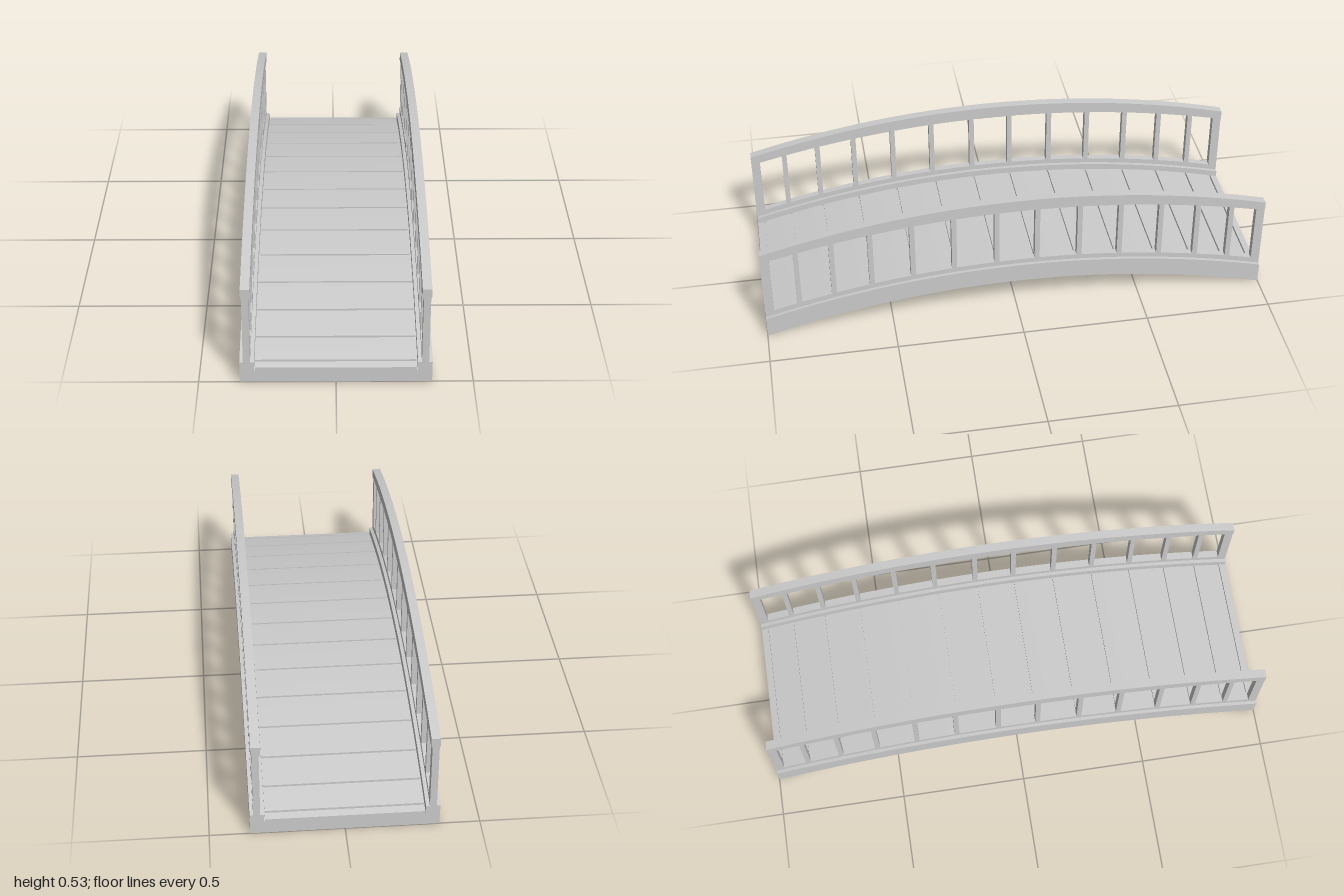
import * as THREE from 'three';
import { toCreasedNormals } from 'three/addons/utils/BufferGeometryUtils.js';

const material = new THREE.MeshStandardMaterial({ color: 0xcccccc });

// Arched line: [height at mid-span, height at the ends]
const UNDERSIDE = [0.142, 0];
const SLAB_TOP = [0.185, 0.05];
const DECK_TOP = [0.197, 0.062];
const CURB_TOP = [0.22, 0.085];
const LOWER_RAIL_TOP = [0.24, 0.108];
const RAIL_BOTTOM = [0.482, 0.358];
const RAIL_TOP = [0.531, 0.396];
const heightAt = ([mid, end], z) => mid - (mid - end) * z * z;

// Solid between two arched lines, from z0 to z1 and x0 to x1
function archBand(name, low, high, z0, z1, x0, x1) {
  const steps = Math.max(2, Math.ceil((z1 - z0) * 20));
  const lower = [], upper = [];
  for (let i = 0; i <= steps; i++) {
    const z = z0 + ((z1 - z0) * i) / steps;
    lower.push(new THREE.Vector2(z, heightAt(low, z)));
    upper.unshift(new THREE.Vector2(z, heightAt(high, z)));
  }
  const shape = new THREE.Shape([...lower, ...upper]);
  const geometry = new THREE.ExtrudeGeometry(shape, { depth: x1 - x0, bevelEnabled: false });
  geometry.rotateY(-Math.PI / 2).translate(x1, 0, 0);
  const mesh = new THREE.Mesh(toCreasedNormals(geometry, 0.4), material);
  mesh.name = name;
  return mesh;
}

export function createModel() {
  const bridge = new THREE.Group();
  bridge.name = 'archedBridge';

  // Arched slab under the deck
  bridge.add(archBand('slab', UNDERSIDE, SLAB_TOP, -1, 1, -0.3, 0.3));

  // Deck planks with narrow grooves between them
  const half = [0.077, 0.241, 0.406, 0.569, 0.72, 0.856, 0.968];
  const joints = [-1, ...half.map((z) => -z).reverse(), ...half, 1];
  const gap = 0.004;
  const planks = new THREE.Group();
  planks.name = 'deckPlanks';
  for (let i = 0; i < joints.length - 1; i++) {
    const z0 = joints[i] + (i > 0 ? gap : 0);
    const z1 = joints[i + 1] - (i < joints.length - 2 ? gap : 0);
    planks.add(archBand('plank', SLAB_TOP, DECK_TOP, z0, z1, -0.294, 0.294));
  }
  bridge.add(planks);

  // Curb and railing on each side
  const balusters = [0.08, 0.249, 0.412, 0.575, 0.725, 0.863];
  for (const side of [-1, 1]) {
    const railing = new THREE.Group();
    railing.name = side > 0 ? 'leftRailing' : 'rightRailing';
    const band = (name, low, high, z0, z1, inner, outer) => {
      const [x0, x1] = side > 0 ? [inner, outer] : [-outer, -inner];
      railing.add(archBand(name, low, high, z0, z1, x0, x1));
    };
    band('curb', UNDERSIDE, CURB_TOP, -1, 1, 0.297, 0.35);
    band('lowerRail', CURB_TOP, LOWER_RAIL_TOP, -1, 1, 0.311, 0.337);
    band('handrail', RAIL_BOTTOM, RAIL_TOP, -1, 1, 0.306, 0.34);
    for (const end of [-1, 1]) {
      for (const z of balusters) {
        band('baluster', LOWER_RAIL_TOP, RAIL_BOTTOM, end * z - 0.01, end * z + 0.01, 0.311, 0.337);
      }
      band('endPost', LOWER_RAIL_TOP, RAIL_BOTTOM, end * 0.9825 - 0.0175, end * 0.9825 + 0.0175, 0.311, 0.337);
    }
    bridge.add(railing);
  }
  return bridge;
}
